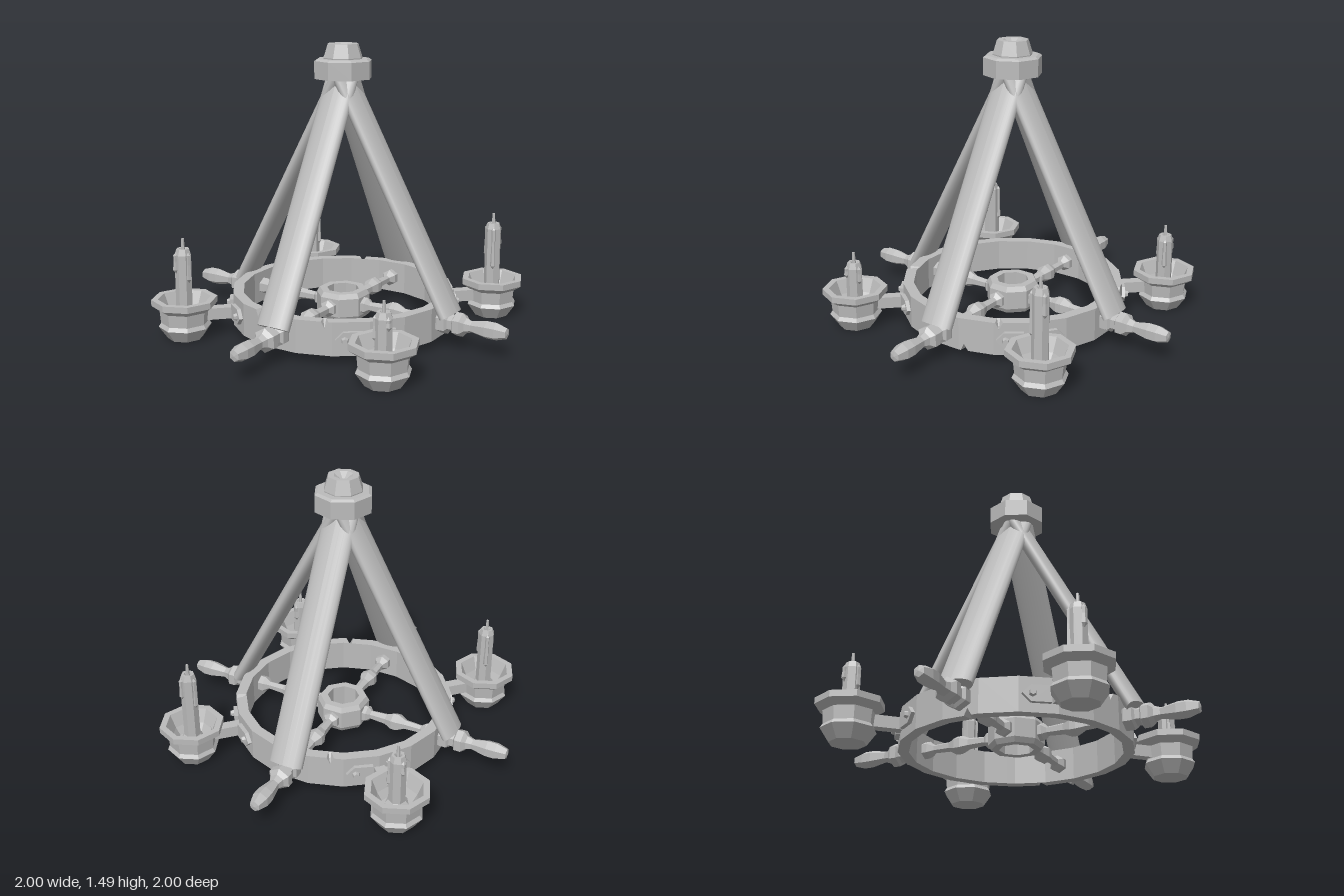
import * as THREE from 'three';

const iron = new THREE.MeshStandardMaterial({ color: 0xbbbbbb });
iron.name = 'grey';

// faceted copy of a geometry
function flat(geo) {
  const g = geo.index ? geo.toNonIndexed() : geo;
  g.computeVertexNormals();
  return g;
}

function add(parent, name, geo, x = 0, y = 0, z = 0) {
  const mesh = new THREE.Mesh(geo, iron);
  mesh.name = name;
  mesh.position.set(x, y, z);
  parent.add(mesh);
  return mesh;
}

// faceted turned shape from [radius, height] pairs
function turned(profile, sides, phase = 0) {
  const points = profile.map(([r, y]) => new THREE.Vector2(r, y));
  return flat(new THREE.LatheGeometry(points, sides, phase));
}

// wheel rim: a 20-sided band with chipped edges
function rimGeometry() {
  const N = 20, step = (Math.PI * 2) / N;
  const sections = [];
  for (let i = 0; i < N; i++) sections.push({ a: i * step, top: 0, bottom: 0 });
  const chip = (a, top, bottom) => {
    a = (a + Math.PI * 2) % (Math.PI * 2);
    sections.push({ a: a - 0.035, top: 0, bottom: 0 }, { a, top, bottom }, { a: a + 0.03, top: 0, bottom: 0 });
  };
  for (const a of [-1.14, 2.61, 1.95, 0.27]) chip(a, 0.035, 0);
  for (const a of [0.58, -2.42]) chip(a, 0, 0.035);
  sections.sort((p, q) => p.a - q.a);
  const corners = sections.map(({ a, top, bottom }) => {
    const local = (a % step) - step / 2;
    const k = Math.cos(step / 2) / Math.cos(local);
    const at = (r, y) => [Math.cos(a) * r * k, y, Math.sin(a) * r * k];
    return [at(0.525, 0.045), at(0.58, 0.045 + bottom), at(0.58, 0.215 - top), at(0.525, 0.215)];
  });
  const pos = [];
  corners.forEach((p, i) => {
    const q = corners[(i + 1) % corners.length];
    for (let j = 0; j < 4; j++) {
      const k = (j + 1) % 4;
      pos.push(...p[j], ...p[k], ...q[k], ...p[j], ...q[k], ...q[j]);
    }
  });
  const g = new THREE.BufferGeometry();
  g.setAttribute('position', new THREE.Float32BufferAttribute(pos, 3));
  return flat(g);
}

// spoke running out through the rim into a grip, built along +z
function spokeGeometry() {
  const g = turned([
    [0, 0.11], [0.045, 0.11], [0.045, 0.15], [0.024, 0.17], [0.03, 0.26], [0.048, 0.3],
    [0.048, 0.33], [0.026, 0.37], [0.022, 0.46], [0.045, 0.49], [0.045, 0.54],
    [0.062, 0.58], [0.062, 0.62], [0.045, 0.63], [0.045, 0.655], [0.062, 0.665], [0.062, 0.7],
    [0.04, 0.72], [0.029, 0.75], [0.045, 0.83], [0.045, 0.88], [0.028, 0.935], [0, 0.94],
  ], 6);
  return g.rotateX(Math.PI / 2);
}

// pointed strap half with its face toward +z
function strapGeometry() {
  const s = new THREE.Shape();
  s.moveTo(-0.07, -0.04);
  s.lineTo(0.025, -0.04);
  s.lineTo(0.065, 0);
  s.lineTo(0.025, 0.04);
  s.lineTo(-0.07, 0.04);
  s.closePath();
  return new THREE.ExtrudeGeometry(s, { depth: 0.022, bevelEnabled: false });
}

// arm, mounting straps, cup and candle, built along +z
function candleHolder(height) {
  const g = new THREE.Group();
  g.name = 'candleHolder';
  add(g, 'arm', new THREE.BoxGeometry(0.056, 0.06, 0.17), 0, 0.12, 0.645);

  const strap = strapGeometry();
  const bolt = flat(new THREE.CylinderGeometry(0.014, 0.02, 0.02, 6).rotateX(Math.PI / 2));
  for (const side of [-1, 1]) {
    const mount = new THREE.Group();
    mount.name = 'mountingStrap';
    mount.rotation.y = side * 0.18;
    g.add(mount);
    const plate = add(mount, 'strap', strap, 0, 0.13, 0.572);
    if (side < 0) plate.rotation.z = Math.PI;
    add(mount, 'bolt', bolt, side * 0.018, 0.13, 0.602);
  }

  // eight-sided cup with a hollow bowl
  add(g, 'cup', turned([
    [0, 0], [0.09, 0], [0.135, 0.065], [0.122, 0.085], [0.128, 0.15], [0.168, 0.178], [0.168, 0.21],
    [0.135, 0.21], [0.105, 0.14], [0.08, 0.1], [0, 0.1],
  ], 8), 0, 0, 0.83);

  // candle with wick and wax drips
  add(g, 'candle', turned([
    [0, 0.09], [0.065, 0.09], [0.06, 0.12], [0.043, 0.14], [0.043, height - 0.03],
    [0.033, height], [0.02, height], [0.012, height - 0.015], [0, height - 0.015],
  ], 7), 0, 0, 0.83);
  add(g, 'wick', flat(new THREE.CylinderGeometry(0.007, 0.011, 0.07, 6)), 0, height + 0.018, 0.83);
  [0.3, 2.2, 4.4].forEach((a, i) => {
    const len = (height - 0.15) * (0.35 + 0.15 * i);
    const drip = turned([[0, 0], [0.015, 0.02], [0.011, len * 0.6], [0.012, len - 0.015], [0, len]], 5);
    add(g, 'waxDrip', drip, Math.sin(a) * 0.04, height - 0.015 - len, 0.83 + Math.cos(a) * 0.04);
  });
  return g;
}

export function createModel() {
  const model = new THREE.Group();
  model.name = 'wheelChandelier';

  add(model, 'rim', rimGeometry());
  add(model, 'hub', turned([
    [0.085, 0.06], [0.125, 0.06], [0.14, 0.085], [0.14, 0.18], [0.125, 0.205], [0.085, 0.205], [0.085, 0.06],
  ], 8, Math.PI / 8));

  // top collar and tapered cap with a dimple
  add(model, 'collar', turned([[0, 1.31], [0.15, 1.31], [0.15, 1.4], [0.135, 1.41], [0, 1.41]], 8, 0.05));
  add(model, 'cap', turned([
    [0.1, 1.4], [0.102, 1.415], [0.08, 1.485], [0.05, 1.485], [0, 1.45],
  ], 8, 0.05));

  // four leaning flat-oval struts over the spokes
  const rise = 1.16, reach = 0.63;
  const strut = new THREE.CylinderGeometry(1, 1, Math.hypot(rise, reach), 20);
  strut.scale(0.092, 1, 0.042);
  strut.computeVertexNormals();
  const spoke = spokeGeometry();
  for (let i = 0; i < 4; i++) {
    const quarter = new THREE.Group();
    quarter.name = 'spokeAndStrut';
    quarter.rotation.y = Math.PI / 4 + (i * Math.PI) / 2;
    add(quarter, 'spoke', spoke, 0, 0.13, 0);
    add(quarter, 'strut', strut, 0, 0.17 + rise / 2, reach / 2).rotation.x = -Math.atan2(reach, rise);
    model.add(quarter);
  }

  // candles at front, left, back and right
  [0.35, 0.51, 0.405, 0.47].forEach((height, i) => {
    const holder = candleHolder(height);
    holder.rotation.y = (i * Math.PI) / 2;
    model.add(holder);
  });
  return model;
}
